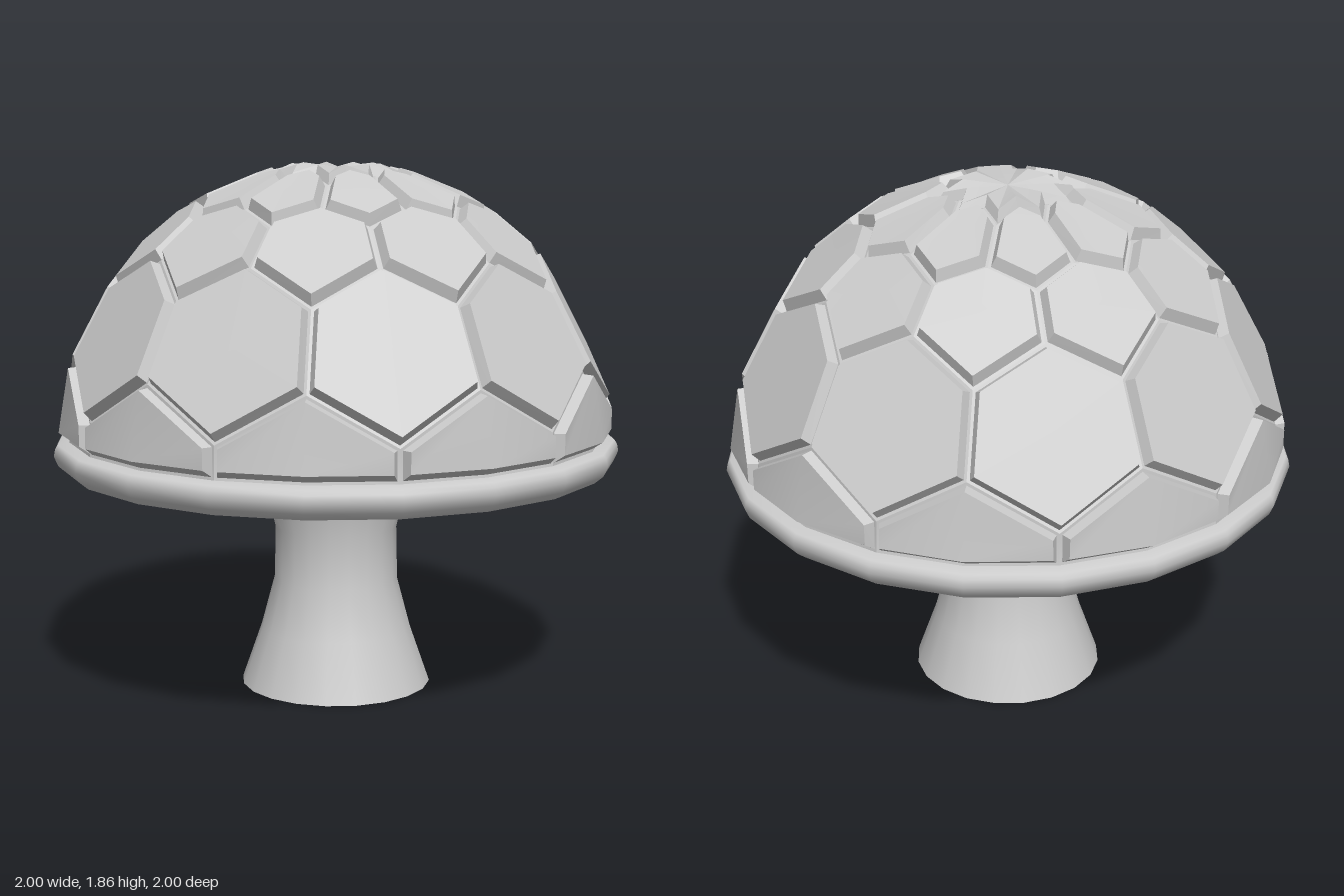
import * as THREE from 'three';
import { toCreasedNormals } from 'three/addons/utils/BufferGeometryUtils.js';

const STEP = Math.PI / 10; // half of one panel's angular width
const CORE = new THREE.Vector3(0, 0.75, 0);
const GROOVE_DEPTH = 0.04;

// Panel corner rings of the cap, from the rim to the crown: [radius, height]
const RINGS = [
  [0.985, 0.915], [0.98, 1.03], [0.94, 1.2], [0.8, 1.46], [0.7, 1.58],
  [0.55, 1.705], [0.47, 1.755], [0.27, 1.835], [0.19, 1.86],
];

// Corner on a ring, k half-panels round from the front
function corner(ring, k) {
  const [r, y] = RINGS[ring];
  return new THREE.Vector3(r * Math.sin(k * STEP), y, r * Math.cos(k * STEP));
}

const sink = (p) => p.clone().addScaledVector(p.clone().sub(CORE).normalize(), -GROOVE_DEPTH);

function centroid(poly) {
  return poly.reduce((s, p) => s.add(p), new THREE.Vector3()).divideScalar(poly.length);
}

// Shrinks a polygon by a constant margin on every edge
function inset(poly, d) {
  const n = poly.length, normal = new THREE.Vector3();
  poly.forEach((p, i) => normal.add(p.clone().cross(poly[(i + 1) % n])));
  normal.normalize();
  const inward = poly.map((p, i) => normal.clone().cross(poly[(i + 1) % n].clone().sub(p)).normalize());
  return poly.map((p, i) => {
    const a = inward[(i + n - 1) % n], b = inward[i];
    return p.clone().addScaledVector(a.clone().add(b), d / (1 + a.dot(b)));
  });
}

// Raised panel: flat face, steep wall and its half of the groove floor
function panel(name, poly, material, folded) {
  const pos = [];
  const tri = (...pts) => pts.forEach((p) => pos.push(p.x, p.y, p.z));
  const quad = (a, b, c, d) => { tri(a, b, c); tri(a, c, d); };
  const n = poly.length;
  const face = inset(poly, 0.028);
  const foot = inset(poly, 0.01).map(sink);
  const edge = poly.map(sink);
  if (folded) { // rim panels bend along their middle
    quad(face[0], face[1], face[4], face[5]);
    quad(face[1], face[2], face[3], face[4]);
  }
  const mid = centroid(face);
  for (let i = 0; i < n; i++) {
    const j = (i + 1) % n;
    if (!folded) tri(mid, face[i], face[j]);
    quad(foot[i], foot[j], face[j], face[i]);
    quad(edge[i], edge[j], foot[j], foot[i]);
  }
  const geometry = new THREE.BufferGeometry();
  geometry.setAttribute('position', new THREE.Float32BufferAttribute(pos, 3));
  const mesh = new THREE.Mesh(toCreasedNormals(geometry, 0.5), material);
  mesh.name = name;
  return mesh;
}

function lathe(name, profile, material) {
  const points = profile.map(([r, y]) => new THREE.Vector2(r, y));
  const mesh = new THREE.Mesh(new THREE.LatheGeometry(points, 20), material);
  mesh.name = name;
  return mesh;
}

export function createModel() {
  const model = new THREE.Group();
  model.name = 'mushroom';
  const solid = new THREE.MeshStandardMaterial({ color: 0xcccccc });
  const open = new THREE.MeshStandardMaterial({ color: 0xcccccc, side: THREE.DoubleSide });

  // Cap panels: each row lists its corners as [ring, half-panel offset]
  const rows = [
    ['rimPanel', 0, [[0, -1], [0, 0], [0, 1], [1, 1], [2, 0], [1, -1]]],
    ['largePanel', 1, [[1, 0], [2, 1], [3, 1], [4, 0], [3, -1], [2, -1]]],
    ['middlePanel', 0, [[3, 0], [4, 1], [5, 1], [6, 0], [5, -1], [4, -1]]],
    ['smallPanel', 1, [[5, 0], [6, 1], [7, 1], [8, 0], [7, -1], [6, -1]]],
  ];
  const cap = new THREE.Group();
  cap.name = 'cap';
  for (const [name, start, corners] of rows) {
    for (let i = 0; i < 10; i++) {
      const poly = corners.map(([ring, k]) => corner(ring, k + start + 2 * i));
      cap.add(panel(name, poly, solid, name === 'rimPanel'));
    }
  }

  // Star-shaped crown
  const star = Array.from({ length: 20 }, (_, k) => corner(k % 2 ? 8 : 7, k));
  cap.add(panel('crownStar', star, solid, false));

  // Rounded lip and hollow underside
  cap.add(lathe('lip', [
    [0.955, 0.8], [0.985, 0.825], [1, 0.86], [0.995, 0.885], [0.985, 0.9], [0.94, 0.909],
  ], open));
  cap.add(lathe('underside', [
    [0.39, 0.955], [0.5, 0.95], [0.7, 0.9], [0.86, 0.835], [0.92, 0.805], [0.955, 0.8],
  ], open));
  model.add(cap);

  // Waisted stem, open at the foot and flaring into the underside
  model.add(lathe('stem', [
    [0.34, 0], [0.27, 0.2], [0.222, 0.38], [0.218, 0.57], [0.255, 0.72],
    [0.282, 0.81], [0.325, 0.9], [0.39, 0.955],
  ], open));
  return model;
}
